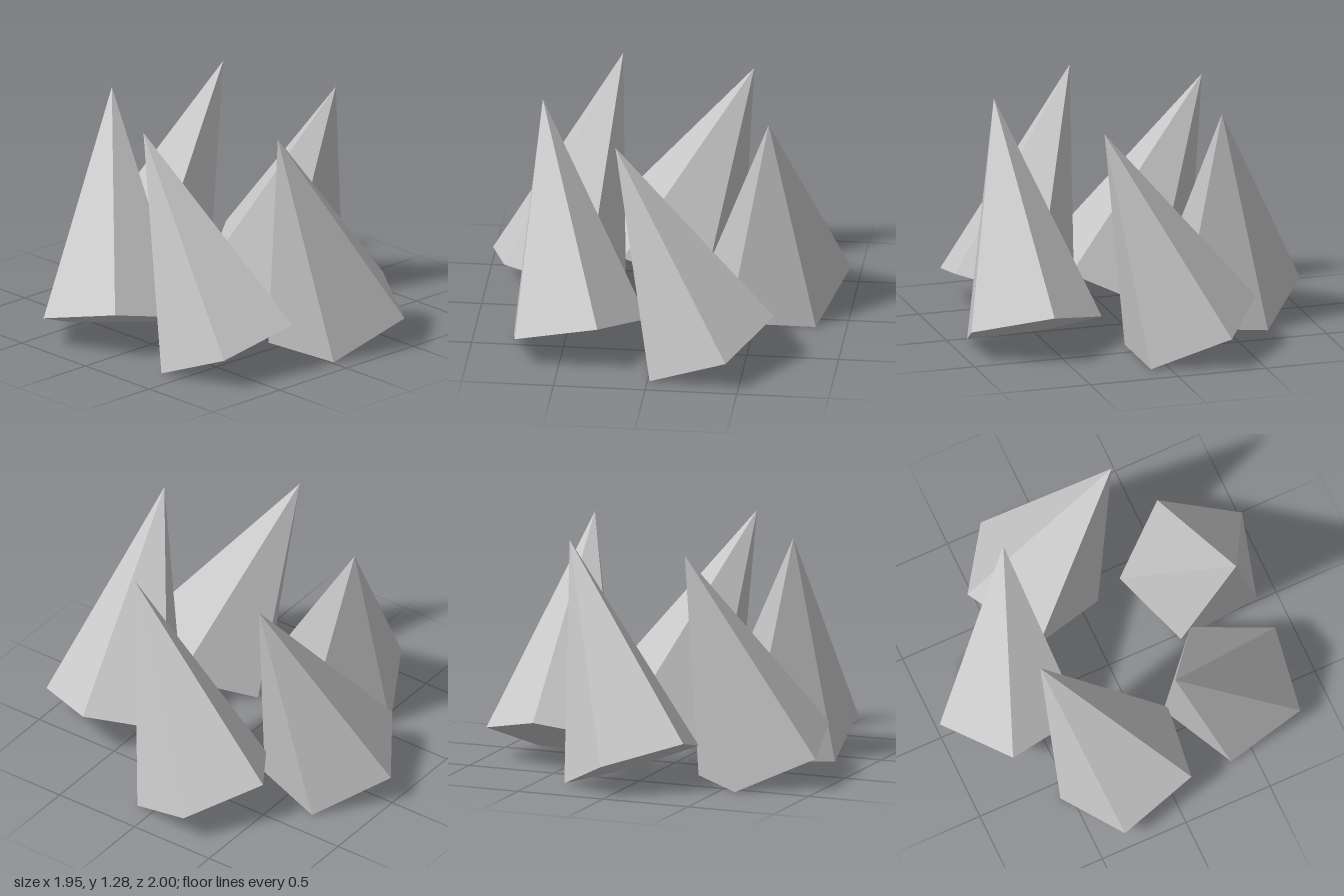
import * as THREE from 'three';

// A ring of five leaning, five-sided spikes.
export function createModel() {
  const model = new THREE.Group();
  const radius = 0.402, height = 1.257, tilt = 0.4, ringRadius = 0.603, step = 1.2;
  const material = new THREE.MeshStandardMaterial({ color: 0xcccccc, flatShading: true });

  // Five-sided spike, tilted so that one flat base edge rests on the ground
  const geometry = new THREE.ConeGeometry(radius, height, 5, 1, false, Math.PI);
  geometry.rotateX(tilt);
  geometry.computeBoundingBox();
  geometry.translate(0, -geometry.boundingBox.min.y, 0);

  // Each spike turns with its place on the ring, so all lean along the circle
  const ring = new THREE.Group();
  ring.name = 'spikeRing';
  ring.position.set(-0.007, 0, 0.047);
  for (let i = 0; i < 5; i++) {
    const angle = i * step;
    const spike = new THREE.Mesh(geometry, material);
    spike.name = `spike${i + 1}`;
    spike.position.set(ringRadius * Math.cos(angle), 0, -ringRadius * Math.sin(angle));
    spike.rotation.y = angle;
    ring.add(spike);
  }
  model.add(ring);
  return model;
}
